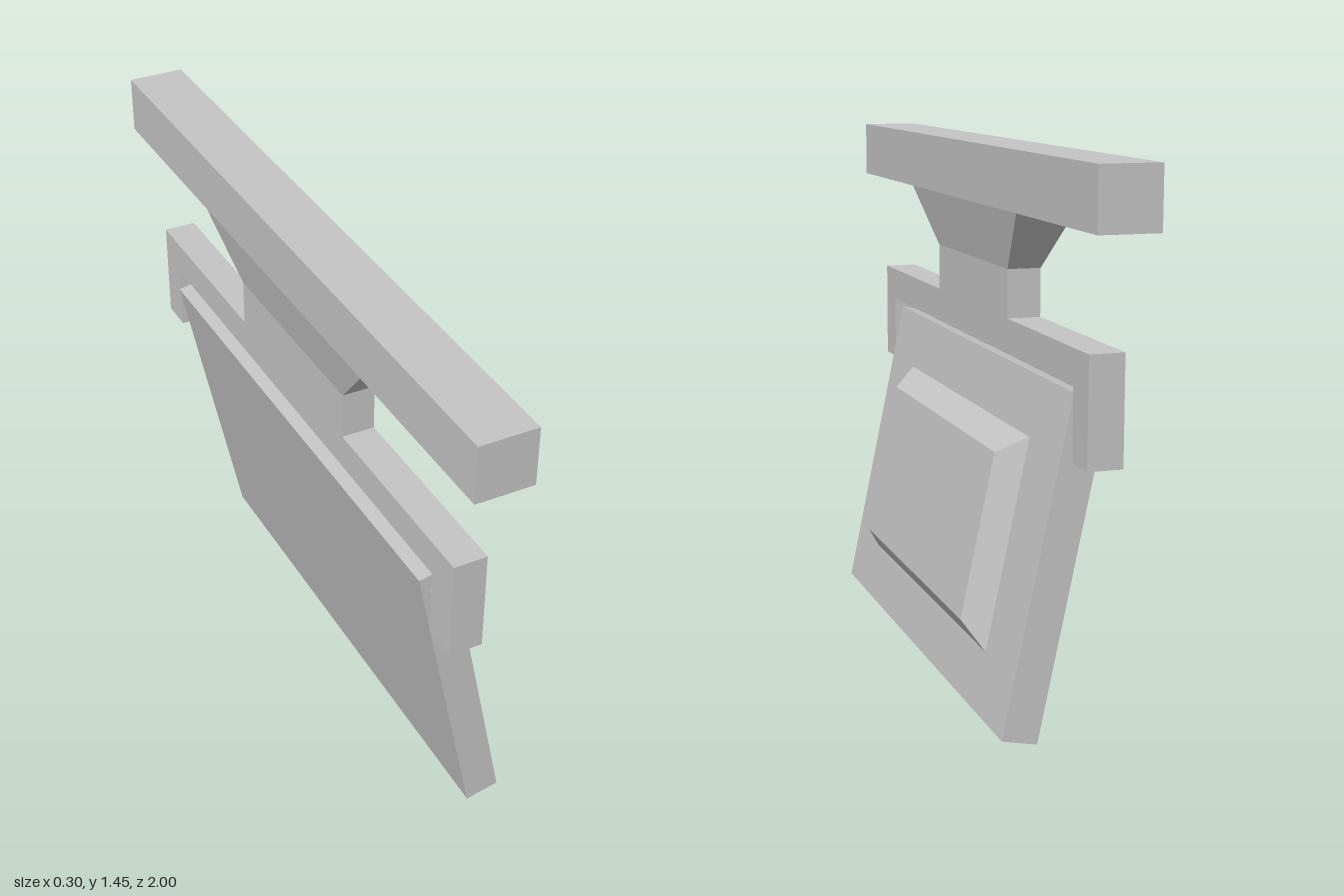
import * as THREE from 'three';

// Box whose vertices on one side of an axis are scaled, giving a flat-faced frustum
function taperedBox(size, axis, side, scale) {
  const geo = new THREE.BoxGeometry(...size);
  const pos = geo.attributes.position;
  for (let i = 0; i < pos.count; i++) {
    const v = new THREE.Vector3().fromBufferAttribute(pos, i);
    if (v.getComponent(axis) * side > 0) v.multiply(scale);
    pos.setXYZ(i, v.x, v.y, v.z);
  }
  geo.computeVertexNormals();
  return geo;
}

export function createModel() {
  const model = new THREE.Group();
  model.name = 'hangingSign';
  const grey = new THREE.MeshStandardMaterial({ color: 0xc4c4c4 });
  grey.name = 'lightGrey';

  const add = (name, geo, x, y, z, parent = model) => {
    const mesh = new THREE.Mesh(geo, grey);
    mesh.name = name;
    mesh.position.set(x, y, z);
    parent.add(mesh);
    return mesh;
  };
  const midX = -0.076;

  // Long beam and the tapered block beneath it
  add('topBeam', new THREE.BoxGeometry(0.158, 0.158, 2), midX, 1.375, 0);
  add('taperedMount',
    taperedBox([0.158, 0.16, 0.92], 1, -1, new THREE.Vector3(0.092 / 0.158, 1, 0.605 / 0.92)),
    midX, 1.216, 0);

  // Neck, crossbar and two arms as one extruded outline
  const half = [[0.302, 1.136], [0.302, 1.006], [0.877, 1.006], [0.877, 0.725], [0.78, 0.725], [0.78, 0.912]];
  const outline = [...half, ...half.map(([z, y]) => [-z, y]).reverse()];
  const bracket = new THREE.ExtrudeGeometry(
    new THREE.Shape(outline.map(([z, y]) => new THREE.Vector2(z, y))),
    { depth: 0.092, bevelEnabled: false });
  bracket.translate(0, 0, -0.046).rotateY(-Math.PI / 2);
  add('bracket', bracket, midX, 0, 0);

  // Hinge pins between arms and panel
  for (const s of [1, -1]) {
    const pin = new THREE.CylinderGeometry(0.03, 0.03, 0.06, 16).rotateX(Math.PI / 2);
    add(s > 0 ? 'frontPin' : 'backPin', pin, midX, 0.82, s * 0.762);
  }

  // Tilted panel with a raised, bevelled face
  const panel = new THREE.Group();
  panel.name = 'swingPanel';
  panel.position.set(-0.002, 0.447, 0);
  panel.rotation.z = 0.205;
  model.add(panel);
  add('panelBoard', new THREE.BoxGeometry(0.095, 0.885, 1.495), 0, 0, 0, panel);
  add('raisedFace',
    taperedBox([0.061, 0.57, 1.05], 0, 1, new THREE.Vector3(1, 0.448 / 0.57, 0.924 / 1.05)),
    0.078, 0, 0, panel);

  return model;
}
